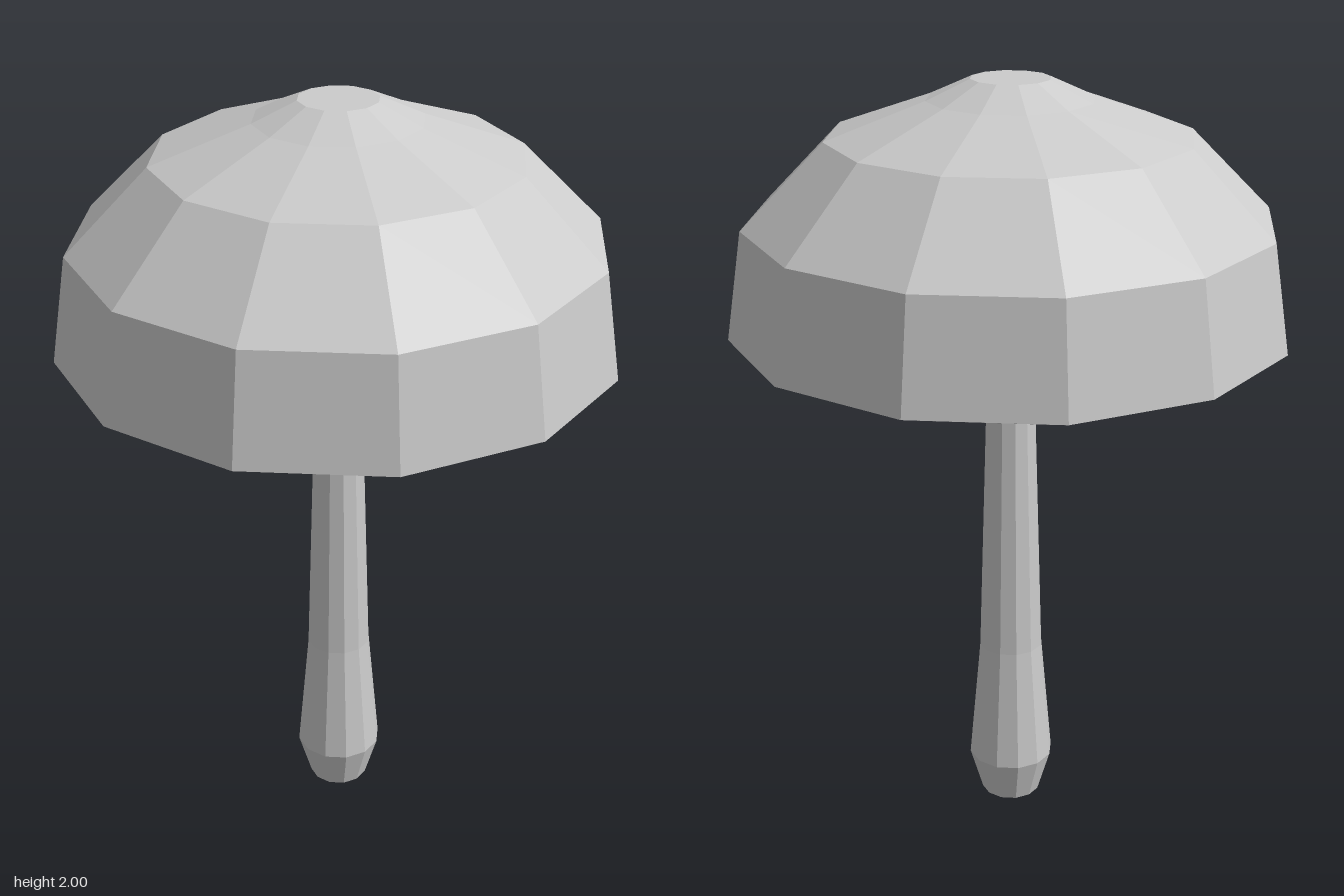
import * as THREE from 'three';

const SIDES = 12;

// Faceted solid of revolution from [radius, height] pairs, bottom to top
function turned(name, profile, material) {
  const points = profile.map(([r, y]) => new THREE.Vector2(r, y));
  const mesh = new THREE.Mesh(new THREE.LatheGeometry(points, SIDES), material);
  mesh.name = name;
  return mesh;
}

export function createModel() {
  const group = new THREE.Group();
  group.name = 'mushroom';
  const material = new THREE.MeshStandardMaterial({ color: 0xcccccc, flatShading: true });

  // Stem: narrow foot, bulge, then a long taper into the cap
  group.add(turned('stem', [
    [0, 0], [0.08, 0], [0.115, 0.12], [0.085, 0.46], [0.062, 1.25],
  ], material));

  // Cap: shallow underside, lip, steep rim and faceted dome
  group.add(turned('cap', [
    [0, 1.245], [0.11, 1.245], [0.61, 1.335], [0.714, 1.375],
    [0.67, 1.65], [0.46, 1.86], [0.21, 1.95], [0.1, 2], [0, 2],
  ], material));

  return group;
}
